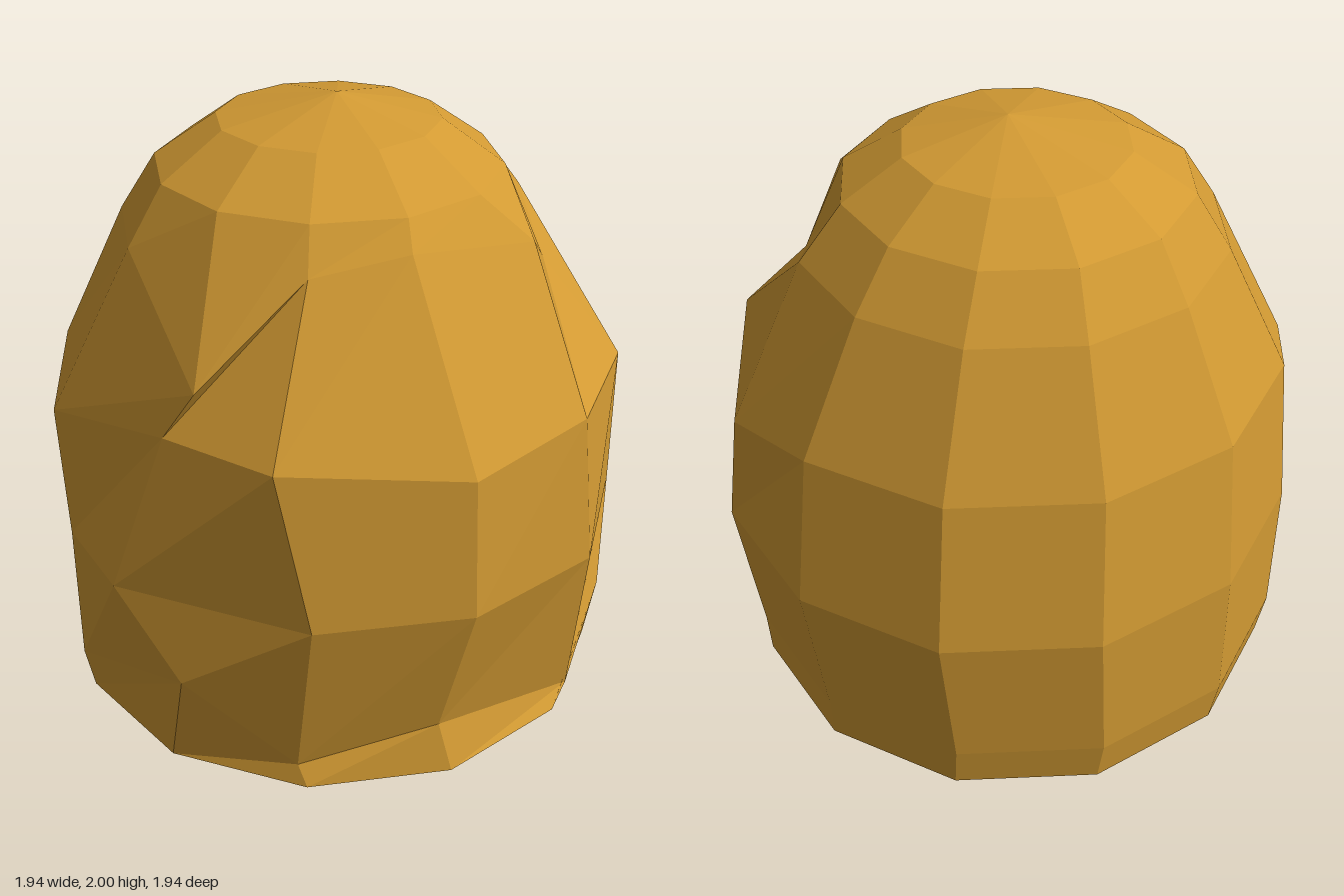
import * as THREE from 'three';

const SIDES = 12;

// Rings from the ground up: radius, height and centre. Dents move single
// corners (counted from +x round through +z) to make the slumped folds.
const RINGS = [
  { r: 0.91, y: 0, cx: -0.02, cz: -0.03 },
  { r: 0.93, y: 0.15, cx: -0.03, cz: -0.03, dents: {
    1: [0.73, 0.3, 0.54], 2: [0.52, 0.05, 0.7], 3: [-0.05, 0.17, 0.84],
    4: [-0.49, 0.07, 0.72], 5: [-0.8, 0.36, 0.53] } },
  { r: 0.97, y: 0.65, cx: 0, cz: -0.01, dents: {
    1: [0.87, 0.59, 0.35], 5: [-0.94, 0.65, 0.34] } },
  { r: 0.92, y: 1.16, cx: -0.02, cz: 0.02, dents: {
    0: [0.93, 1.08, -0.08], 3: [0, 1.11, 0.93],
    4: [-0.57, 1.18, 0.76], 5: [-0.78, 1.18, 0.42], 6: [-0.97, 1.06, -0.1] } },
  { r: 0.69, y: 1.6, cx: -0.02, cz: -0.03, dents: {
    1: [0.59, 1.46, 0.28], 2: [0.41, 1.63, 0.51], 3: [-0.05, 1.7, 0.59],
    4: [-0.35, 1.65, 0.52], 5: [-0.7, 1.34, 0.49] } },
  { r: 0.56, y: 1.785, cx: -0.03, cz: -0.04 },
  { r: 0.36, y: 1.92, cx: -0.02, cz: -0.06 },
];

function ringPoint({ r, y, cx, cz, dents = {} }, k) {
  const a = (k / SIDES) * Math.PI * 2;
  return dents[k] ?? [cx + r * Math.cos(a), y, cz + r * Math.sin(a)];
}

// Stitch the rings together and close both ends
function moundGeometry() {
  const positions = [];
  const index = [];
  for (const ring of RINGS) {
    for (let k = 0; k < SIDES; k++) positions.push(...ringPoint(ring, k));
  }
  const top = (RINGS.length - 1) * SIDES;
  const apex = RINGS.length * SIDES;
  const bottom = apex + 1;
  positions.push(0, 2, -0.04, 0, 0, 0);
  for (let k = 0; k < SIDES; k++) {
    const next = (k + 1) % SIDES;
    for (let row = 0; row < top; row += SIDES) {
      const a = row + k;
      const b = row + next;
      index.push(b, a, a + SIDES, b, a + SIDES, b + SIDES);
    }
    index.push(top + next, top + k, apex);
    index.push(k, next, bottom);
  }
  const indexed = new THREE.BufferGeometry();
  indexed.setAttribute('position', new THREE.Float32BufferAttribute(positions, 3));
  indexed.setIndex(index);
  const geometry = indexed.toNonIndexed();
  geometry.computeVertexNormals();
  return geometry;
}

export function createModel() {
  const straw = new THREE.MeshStandardMaterial({ color: 0xd29a33, flatShading: true });
  straw.name = 'straw';

  const group = new THREE.Group();
  group.name = 'haystack';
  const mound = new THREE.Mesh(moundGeometry(), straw);
  mound.name = 'mound';
  group.add(mound);
  return group;
}
